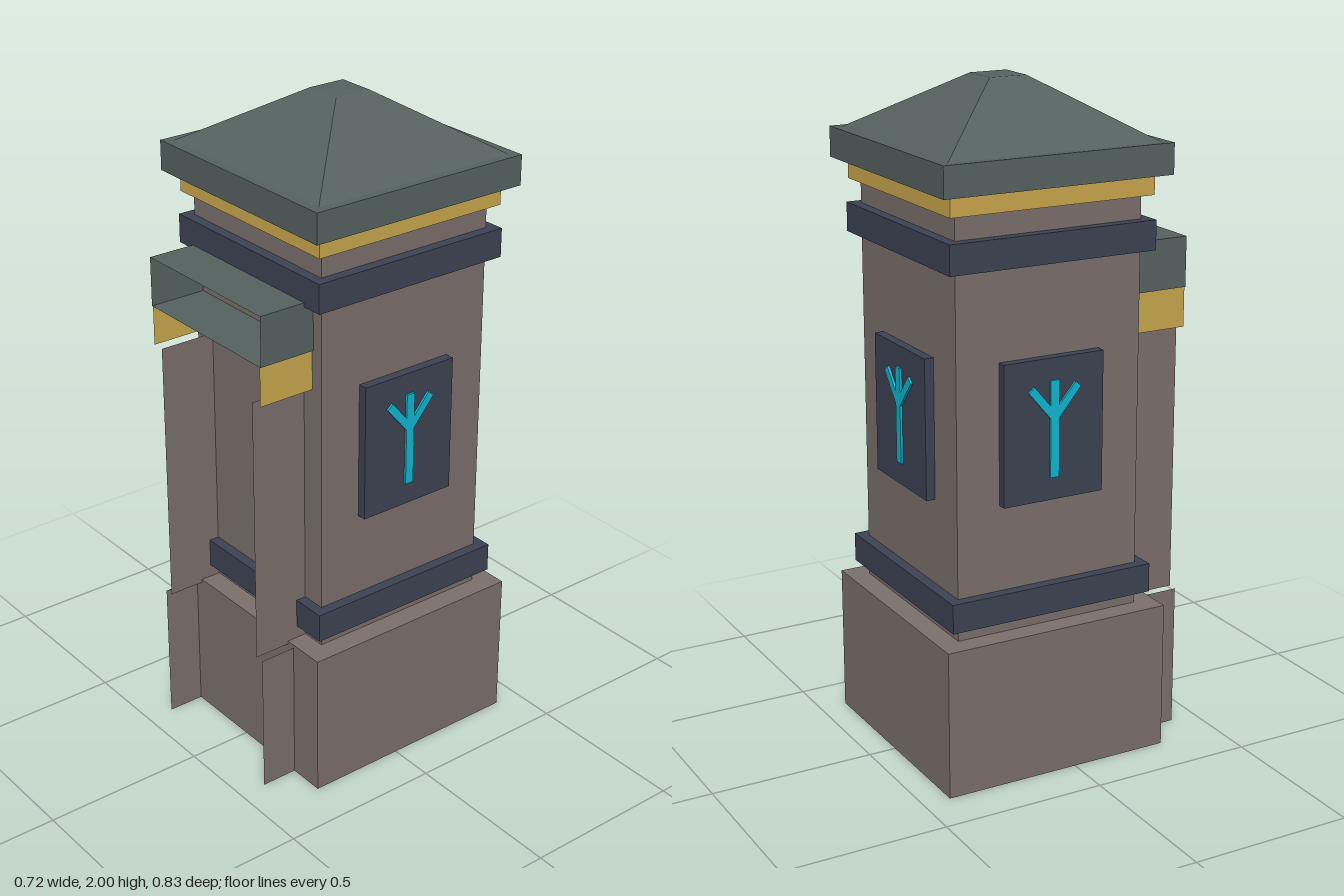
import * as THREE from 'three';

const mat = (name, color, side = THREE.FrontSide) => {
  const m = new THREE.MeshStandardMaterial({ color, side });
  m.name = name;
  return m;
};

export function createModel() {
  const stone = mat('stone', 0x7a6f6b, THREE.DoubleSide);
  const slate = mat('slate', 0x55615f, THREE.DoubleSide);
  const gold = mat('gold', 0xc8a64c, THREE.DoubleSide);
  const navy = mat('navy', 0x3c4252);
  const cyan = mat('cyan', 0x10b5d0);

  const model = new THREE.Group();
  model.name = 'stonePillar';
  const pillar = new THREE.Group();
  pillar.name = 'pillar';
  pillar.position.z = -0.057;
  model.add(pillar);

  const add = (parent, name, geometry, material, x = 0, y = 0, z = 0) => {
    const mesh = new THREE.Mesh(geometry, material);
    mesh.name = name;
    mesh.position.set(x, y, z);
    parent.add(mesh);
    return mesh;
  };

  // Square block centred on the pillar axis, from y0 to y1
  const block = (name, half, y0, y1, material) =>
    add(pillar, name, new THREE.BoxGeometry(half * 2, y1 - y0, half * 2), material, 0, (y0 + y1) / 2);

  // Plinth is hollow below: drop the bottom face
  const plinth = block('plinth', 0.359, 0, 0.45, stone);
  const faces = Array.from(plinth.geometry.index.array);
  faces.splice(18, 6);
  plinth.geometry.setIndex(faces);
  plinth.geometry.clearGroups();

  block('shaft', 0.294, 0.45, 1.74, stone);
  block('lowerBand', 0.326, 0.49, 0.578, navy);
  block('upperBand', 0.326, 1.523, 1.61, navy);
  block('goldTrim', 0.321, 1.68, 1.745, gold);
  block('capSlab', 0.359, 1.74, 1.83, slate);

  // Truncated pyramid roof
  const roof = new THREE.BoxGeometry(0.664, 0.17, 0.664);
  const p = roof.attributes.position;
  for (let i = 0; i < p.count; i++) {
    if (p.getY(i) > 0) p.setXYZ(i, Math.sign(p.getX(i)) * 0.058, p.getY(i), Math.sign(p.getZ(i)) * 0.058);
  }
  roof.computeVertexNormals();
  add(pillar, 'roof', roof, slate, 0, 1.915);

  // Plaques with a forked emblem on both sides and the back
  const sides = [['left', Math.PI / 2], ['right', -Math.PI / 2], ['back', Math.PI]];
  for (const [side, angle] of sides) {
    const plaque = new THREE.Group();
    plaque.name = side + 'Plaque';
    plaque.rotation.y = angle;
    pillar.add(plaque);
    add(plaque, 'plate', new THREE.BoxGeometry(0.32, 0.418, 0.04), navy, 0, 1.045, 0.302);
    add(plaque, 'emblemStem', new THREE.BoxGeometry(0.028, 0.286, 0.008), cyan, 0, 1.047, 0.325);
    for (const s of [-1, 1]) {
      const arm = add(plaque, 'emblemArm', new THREE.BoxGeometry(0.024, 0.118, 0.008), cyan, s * 0.037, 1.125, 0.325);
      arm.rotation.z = -s * 0.7;
    }
  }

  // Open front surround: thin side cheeks between the shaft and its outer edge
  const porch = new THREE.Group();
  porch.name = 'frontSurround';
  model.add(porch);
  const zBack = 0.238, zFront = 0.416, depth = zFront - zBack, zMid = (zBack + zFront) / 2;
  const cheeks = [
    ['footCheek', 0.245, 0, 0.44, stone],
    ['jambCheek', 0.218, 0.44, 1.265, stone],
    ['goldCheek', 0.255, 1.265, 1.385, gold],
    ['lintelCheek', 0.26, 1.385, 1.535, slate],
  ];
  for (const [name, x, y0, y1, material] of cheeks) {
    for (const s of [-1, 1]) {
      const cheek = add(porch, name, new THREE.PlaneGeometry(depth, y1 - y0), material, s * x, (y0 + y1) / 2, zMid);
      cheek.rotation.y = s * Math.PI / 2;
    }
  }

  // Top and underside of the lintel
  for (const [name, y, turn] of [['lintelTop', 1.535, -1], ['lintelUnderside', 1.385, 1]]) {
    const sheet = add(porch, name, new THREE.PlaneGeometry(0.52, depth), slate, 0, y, zMid);
    sheet.rotation.x = turn * Math.PI / 2;
  }

  return model;
}
